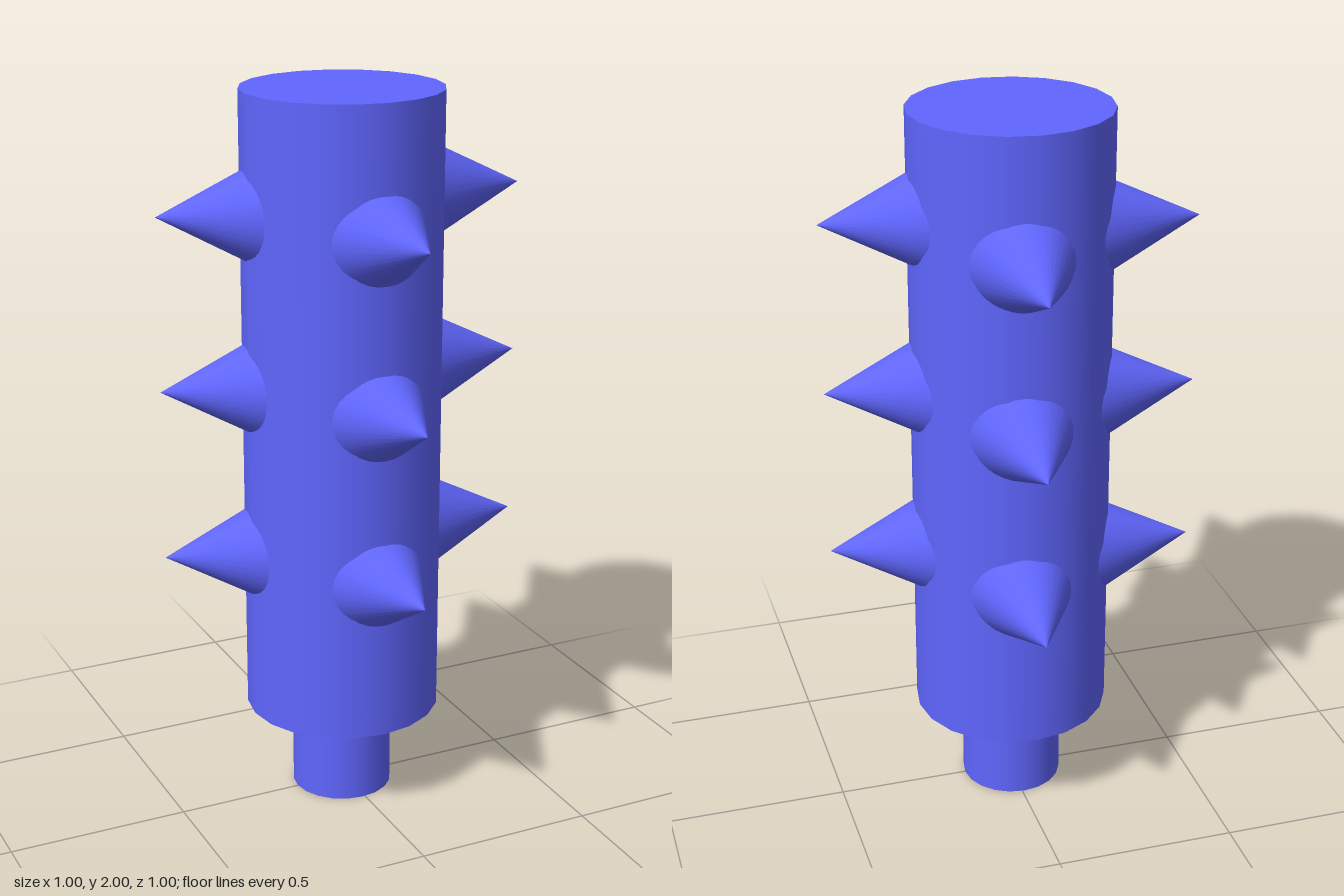
import * as THREE from 'three';

export function createModel() {
  const group = new THREE.Group();
  const material = new THREE.MeshStandardMaterial({ color: 0x6066ff });

  const add = (name, geometry, x, y, z) => {
    const mesh = new THREE.Mesh(geometry, material);
    mesh.name = name;
    mesh.position.set(x, y, z);
    group.add(mesh);
    return mesh;
  };

  // Club body and the narrower grip below it
  add('body', new THREE.CylinderGeometry(0.271, 0.271, 1.74, 20), -0.005, 1.13, -0.002);
  add('handle', new THREE.CylinderGeometry(0.14, 0.14, 0.27, 20), -0.007, 0.135, -0.002);

  // Spikes: tip of the lowest ring and the slightly tilted outward axis
  const length = 0.282;
  const spikeGeometry = new THREE.ConeGeometry(0.141, length, 32);
  spikeGeometry.translate(0, -length / 2, 0); // tip at the origin
  const up = new THREE.Vector3(0, 1, 0);
  const spikes = [
    ['frontSpike', [-0.007, 0.727, 0.5], [0, 0.077, 1]],
    ['backSpike', [0.045, 0.702, -0.503], [0.07, -0.044, -1]],
    ['leftSpike', [0.497, 0.771, 0.045], [1, 0, 0.088]],
    ['rightSpike', [-0.5, 0.744, -0.08], [-1, 0.045, -0.133]],
  ];
  for (let ring = 0; ring < 3; ring++) {
    for (const [name, [x, y, z], axis] of spikes) {
      const spike = add(`${name}${ring + 1}`, spikeGeometry, x, y + ring * 0.472, z);
      spike.quaternion.setFromUnitVectors(up, new THREE.Vector3(...axis).normalize());
    }
  }
  return group;
}
